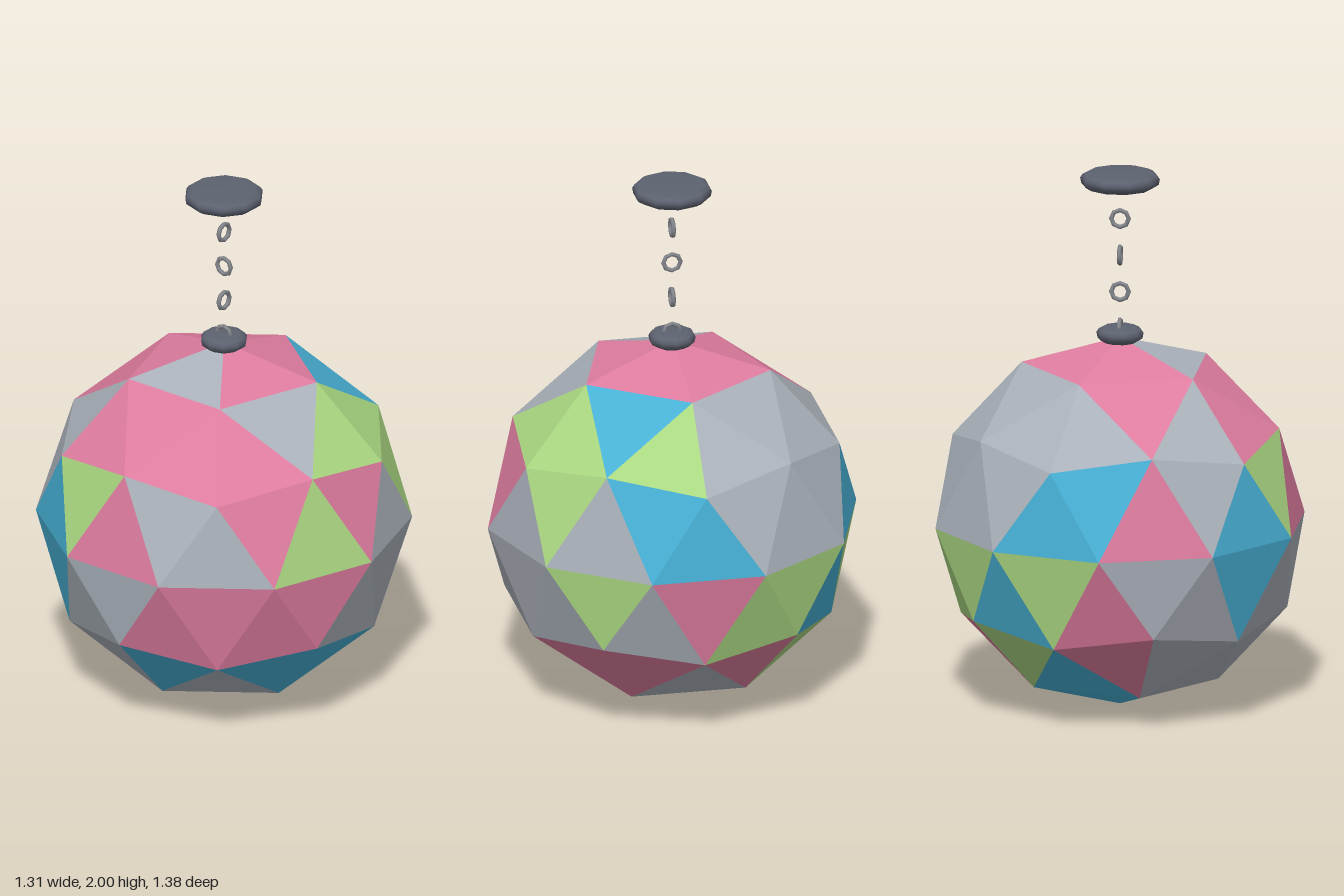
import * as THREE from 'three';

const mat = (name, color) => {
  const m = new THREE.MeshStandardMaterial({ color });
  m.name = name;
  return m;
};

const R = 0.69;

// Ring of ball vertices: height and radius relative to R, angle in degrees
const ring = (count, y, r, offset) => (i) => {
  const a = THREE.MathUtils.degToRad(offset + (360 / count) * (((i % count) + count) % count));
  return new THREE.Vector3(Math.cos(a) * r, y, Math.sin(a) * r).multiplyScalar(R);
};

// Panel colours per fifth of the ball, from top to bottom
const PANELS = [
  'pbggbgwgbpgwppwp',
  'pwgpppgpwwwwpbgw',
  'wpppwgpwwpppbbww',
  'ppwwwbpwbbwwwwwb',
  'pwwwwwwgbgpbpgbb',
];

// The 16 triangles of one fifth
function sectorFaces(k) {
  const A = ring(5, 0.8507, 0.5257, 0), U = ring(5, 0.4472, 0.8944, 0), M = ring(5, 0.5257, 0.8507, 36);
  const E = ring(10, 0, 1, 18);
  const L = ring(5, -0.4472, 0.8944, 36), N = ring(5, -0.5257, 0.8507, 0), B = ring(5, -0.8507, 0.5257, 36);
  const T = new THREE.Vector3(0, R, 0), D = new THREE.Vector3(0, -R, 0);
  const j = 2 * k, n = k + 1, p = k - 1;
  return [
    [T, A(k), A(n)], [A(k), A(n), M(k)], [A(k), U(k), M(k)], [A(n), M(k), U(n)],
    [U(k), M(k), E(j)], [M(k), U(n), E(j + 1)], [M(k), E(j), E(j + 1)], [E(j), E(j + 1), L(k)],
    [U(k), E(j - 1), E(j)], [E(j - 1), E(j), N(k)], [E(j - 1), L(p), N(k)], [E(j), L(k), N(k)],
    [L(p), N(k), B(p)], [L(k), N(k), B(k)], [N(k), B(p), B(k)], [B(p), B(k), D],
  ];
}

// Faceted ball: one mesh per panel colour
function makeBall(materials) {
  const ball = new THREE.Group();
  ball.name = 'facetedBall';
  const positions = { p: [], g: [], b: [], w: [] };
  PANELS.forEach((colours, k) => {
    sectorFaces(k).forEach(([a, b, c], i) => {
      const normal = b.clone().sub(a).cross(c.clone().sub(a));
      const corners = normal.dot(a) > 0 ? [a, b, c] : [a, c, b];
      corners.forEach((v) => positions[colours[i]].push(v.x, v.y, v.z));
    });
  });
  for (const key of Object.keys(positions)) {
    const geo = new THREE.BufferGeometry();
    geo.setAttribute('position', new THREE.Float32BufferAttribute(positions[key], 3));
    geo.computeVertexNormals();
    const mesh = new THREE.Mesh(geo, materials[key]);
    mesh.name = materials[key].name + 'Panels';
    ball.add(mesh);
  }
  ball.position.y = R;
  return ball;
}

// Ten-sided disc with a rounded rim
function makeDisc(name, radius, height, y, material) {
  const h = height / 2, inner = radius - 0.027;
  const profile = [
    [0, -h], [inner, -h], [radius - 0.004, -h * 0.5], [radius, 0.2 * h], [radius - 0.008, 0.65 * h], [inner, h], [0, h],
  ].map(([x, v]) => new THREE.Vector2(x, v));
  const mesh = new THREE.Mesh(new THREE.LatheGeometry(profile, 10, Math.PI / 2), material);
  mesh.name = name;
  mesh.position.y = y;
  return mesh;
}

export function createModel() {
  const model = new THREE.Group();
  model.name = 'hangingBall';

  const panels = {
    p: mat('pink', 0xde7c9f),
    g: mat('green', 0xabd982),
    b: mat('blue', 0x48b1d6),
    w: mat('silver', 0xabb2bb),
  };
  const slate = mat('slate', 0x5d6270);
  const steel = mat('steel', 0x85888e);

  model.add(makeBall(panels));
  model.add(makeDisc('ballCap', 0.087, 0.058, 1.391, slate));
  model.add(makeDisc('ceilingPlate', 0.147, 0.058, 1.971, slate));

  // Chain links, alternately turned
  const linkGeo = new THREE.TorusGeometry(0.032, 0.0085, 6, 8);
  for (let i = 0; i < 4; i++) {
    const link = new THREE.Mesh(linkGeo, steel);
    link.name = 'chainLink' + (i + 1);
    link.position.y = 1.413 + i * 0.1375;
    link.rotation.y = i % 2 ? 0 : Math.PI / 2;
    model.add(link);
  }
  return model;
}
